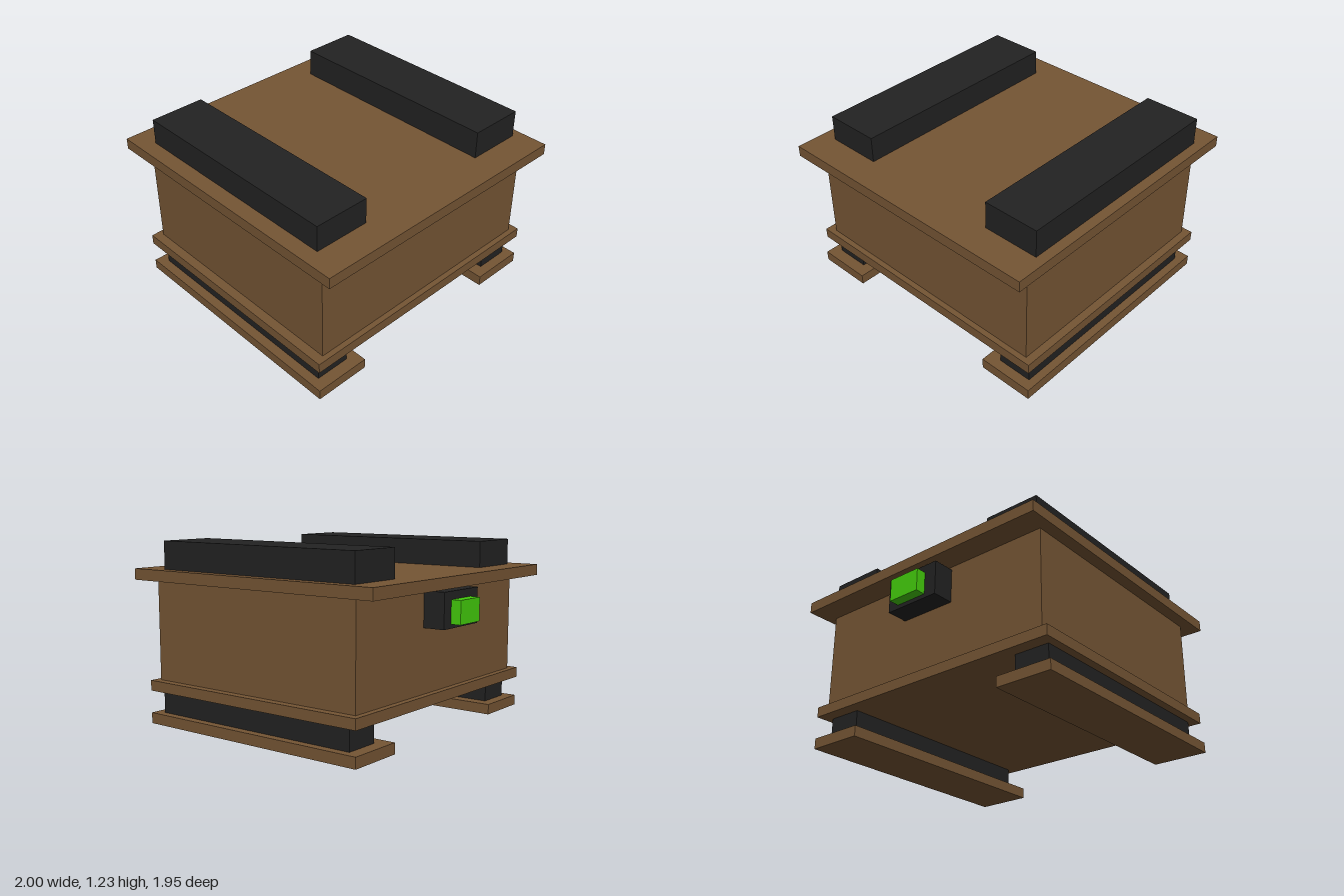
import * as THREE from 'three';

const wood = new THREE.MeshStandardMaterial({ name: 'brown wood', color: 0x755534 });
const black = new THREE.MeshStandardMaterial({ name: 'black', color: 0x222222 });
const green = new THREE.MeshStandardMaterial({ name: 'bright green', color: 0x44cc0c });

// Box given by its [min, max] extent along each axis
function block(name, material, [x0, x1], [y0, y1], [z0, z1]) {
  const mesh = new THREE.Mesh(new THREE.BoxGeometry(x1 - x0, y1 - y0, z1 - z0), material);
  mesh.position.set((x0 + x1) / 2, (y0 + y1) / 2, (z0 + z1) / 2);
  mesh.name = name;
  return mesh;
}

export function createModel() {
  const crate = new THREE.Group();
  crate.name = 'crate';
  crate.add(
    // Crate body with its lid and base rim
    block('body', wood, [-0.785, 0.855], [0.26, 1.0], [-0.905, 0.895]),
    block('lid', wood, [-0.955, 1.0], [0.967, 1.042], [-0.978, 0.975]),
    block('baseRim', wood, [-0.827, 0.894], [0.225, 0.295], [-0.96, 0.96]),

    // Bars lying on the lid
    block('frontTopBar', black, [-0.78, 0.785], [1.042, 1.218], [0.477, 0.865]),
    block('backTopBar', black, [-0.78, 0.785], [1.042, 1.23], [-0.908, -0.518]),

    // Spacers and skids under the base
    block('frontSpacer', black, [-0.74, 0.825], [0.085, 0.225], [0.665, 0.905]),
    block('backSpacer', black, [-0.74, 0.825], [0.073, 0.225], [-0.905, -0.665]),
    block('frontSkid', wood, [-0.812, 0.908], [0.017, 0.087], [0.583, 0.97]),
    block('backSkid', wood, [-0.827, 0.894], [0, 0.073], [-0.96, -0.573]),

    // Latch on the right side
    block('latchPlate', black, [-0.932, -0.785], [0.715, 0.947], [-0.21, 0.19]),
    block('latchButton', green, [-1.0, -0.932], [0.742, 0.895], [-0.13, 0.1])
  );
  return crate;
}
